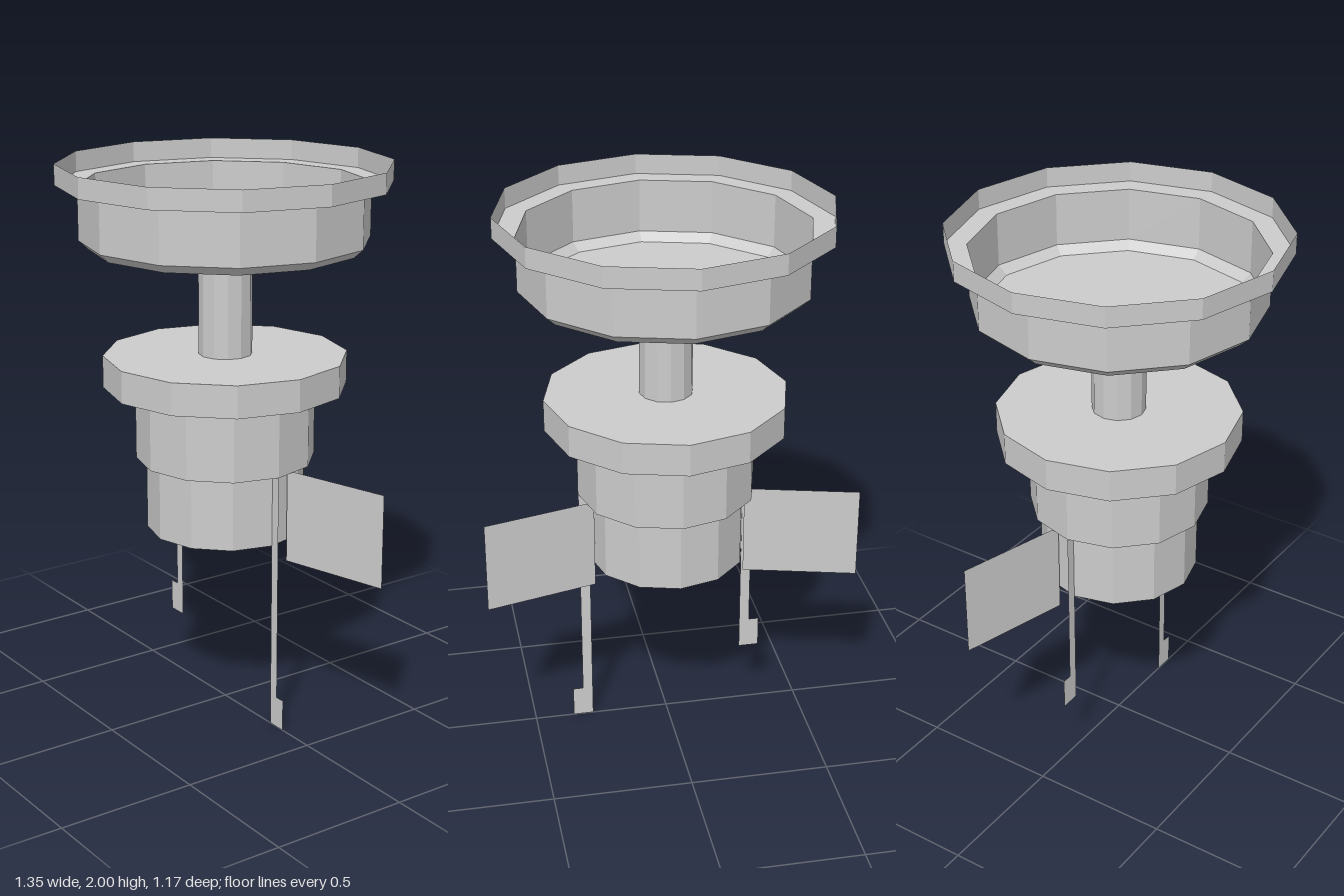
import * as THREE from 'three';

export function createModel() {
  const model = new THREE.Group();
  const grey = new THREE.MeshStandardMaterial({ color: 0xcccccc, flatShading: true, side: THREE.DoubleSide });
  grey.name = 'plain grey';

  const add = (name, geometry) => {
    const mesh = new THREE.Mesh(geometry, grey);
    mesh.name = name;
    model.add(mesh);
    return mesh;
  };
  // Twelve-sided drum between two heights
  const drum = (name, radius, bottom, top) => {
    add(name, new THREE.CylinderGeometry(radius, radius, top - bottom, 12))
      .position.y = (bottom + top) / 2;
  };
  // Flat sheet in the xy plane
  const sheet = (name, points) =>
    add(name, new THREE.ShapeGeometry(new THREE.Shape(points.map(([x, y]) => new THREE.Vector2(x, y)))));

  // Open dish: thin shell with a stepped rim and chamfered floor
  const dishProfile = [[0, 1.705], [0.475, 1.705], [0.508, 1.735], [0.508, 1.927], [0.585, 1.927], [0.585, 2]];
  add('dish', new THREE.LatheGeometry(dishProfile.map(([r, y]) => new THREE.Vector2(r, y)), 12));

  // Stem and stepped body
  drum('stem', 0.095, 1.325, 1.706);
  drum('flange', 0.433, 1.21, 1.325);
  drum('upperBody', 0.32, 0.947, 1.21);
  drum('lowerBody', 0.283, 0.685, 0.947);

  // Hanging prongs with hooked feet, one longer than the other
  for (const [name, side, foot] of [['leftProng', 1, 0], ['rightProng', -1, 0.232]]) {
    sheet(name, [
      [0.282, foot], [0.356, foot], [0.356, foot + 0.115],
      [0.319, foot + 0.115], [0.319, 0.947], [0.282, 0.947],
    ].map(([x, y]) => [x * side, y]));
  }

  // Side fins swept slightly backwards
  for (const [name, side] of [['leftFin', 1], ['rightFin', -1]]) {
    const fin = add(name, new THREE.PlaneGeometry(Math.hypot(0.4, 0.105), 0.337));
    fin.position.set(0.473 * side, 0.779, -0.124);
    fin.rotation.y = side * Math.atan2(0.105, 0.4);
  }
  return model;
}
